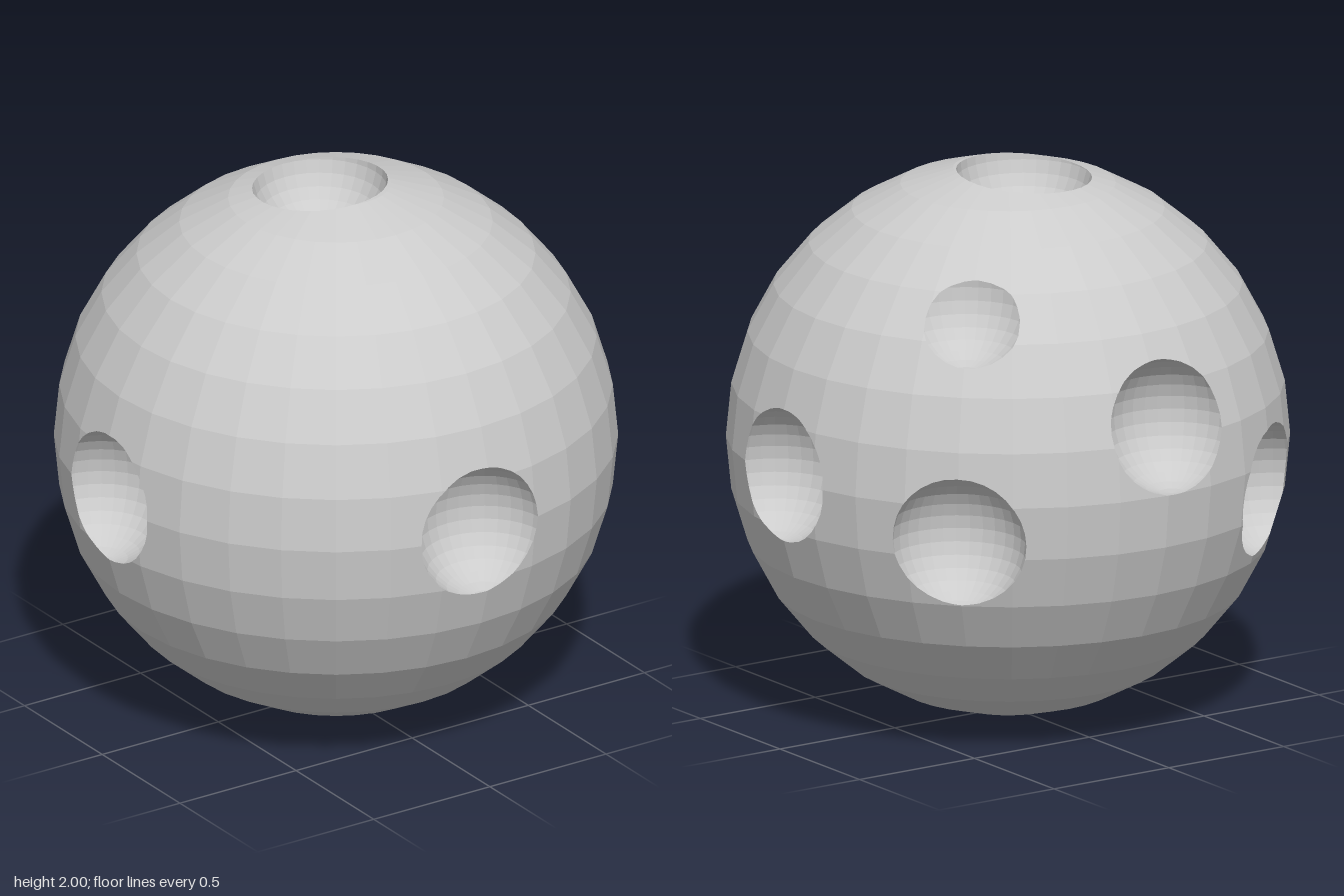
import * as THREE from 'three';

const R = 1.01;      // ball radius
const HOLE = 0.247;  // radius of the spheres that scoop out the dimples
const EPS = 1e-7;

// Planar facets of a latitude/longitude sphere, each with its plane
function sphereFacets(radius, centre, segs = 32, rings = 16) {
  const point = (i, j) => new THREE.Vector3()
    .setFromSphericalCoords(radius, (i * Math.PI) / rings, (j * 2 * Math.PI) / segs)
    .add(centre);
  const facets = [];
  for (let i = 0; i < rings; i++) {
    for (let j = 0; j < segs; j++) {
      const a = point(i, j), b = point(i + 1, j), c = point(i + 1, j + 1), d = point(i, j + 1);
      const poly = i === 0 ? [a, b, c] : i === rings - 1 ? [a, b, d] : [a, b, c, d];
      const plane = new THREE.Plane().setFromCoplanarPoints(poly[0], poly[1], poly[2]);
      facets.push({ poly, plane });
    }
  }
  return facets;
}

// Cut a convex polygon by a plane into its outer and inner piece
function split(poly, plane) {
  const dist = poly.map((p) => plane.distanceToPoint(p));
  if (dist.every((d) => d <= EPS)) return { outer: null, inner: poly };
  if (dist.every((d) => d >= -EPS)) return { outer: poly, inner: null };
  const outer = [], inner = [];
  poly.forEach((p, i) => {
    const k = (i + 1) % poly.length;
    if (dist[i] >= -EPS) outer.push(p);
    if (dist[i] <= EPS) inner.push(p);
    if ((dist[i] > EPS && dist[k] < -EPS) || (dist[i] < -EPS && dist[k] > EPS)) {
      const cut = p.clone().lerp(poly[k], dist[i] / (dist[i] - dist[k]));
      outer.push(cut);
      inner.push(cut);
    }
  });
  return { outer: outer.length > 2 ? outer : null, inner: inner.length > 2 ? inner : null };
}

// Part of a polygon inside a convex solid
function clipInside(poly, planes) {
  for (const plane of planes) {
    poly = split(poly, plane).inner;
    if (!poly) return null;
  }
  return poly;
}

// Parts of a polygon outside a convex solid
function clipOutside(poly, planes) {
  if (!clipInside(poly, planes)) return [poly];
  const pieces = [];
  for (const plane of planes) {
    const { outer, inner } = split(poly, plane);
    if (outer) pieces.push(outer);
    if (!inner) break;
    poly = inner;
  }
  return pieces;
}

// Flat-shaded mesh from convex polygons; flip turns the faces inward
function facetMesh(name, facets, material, flip = false) {
  const pos = [], nor = [];
  for (const { poly, plane } of facets) {
    const n = plane.normal.clone().multiplyScalar(flip ? -1 : 1);
    for (let i = 1; i < poly.length - 1; i++) {
      const tri = flip ? [poly[0], poly[i + 1], poly[i]] : [poly[0], poly[i], poly[i + 1]];
      for (const p of tri) {
        pos.push(p.x, p.y, p.z);
        nor.push(n.x, n.y, n.z);
      }
    }
  }
  const geo = new THREE.BufferGeometry();
  geo.setAttribute('position', new THREE.Float32BufferAttribute(pos, 3));
  geo.setAttribute('normal', new THREE.Float32BufferAttribute(nor, 3));
  const mesh = new THREE.Mesh(geo, material);
  mesh.name = name;
  return mesh;
}

// Dimples: direction from the ball's middle and distance of the scooping sphere
const DIMPLES = [
  { name: 'frontDimple', dir: [-0.034, 0, 0.98], at: R },
  { name: 'leftDimple', dir: [1, 0, 0], at: R },
  { name: 'rightDimple', dir: [-1, 0, 0], at: R },
  { name: 'topDimple', dir: [-0.034, 0.98, -0.052], at: R },
  { name: 'backDimple', dir: [-0.034, 0.235, -0.947], at: R },
  { name: 'backLeftDimple', dir: [0.687, -0.141, -0.684], at: R },
  { name: 'backRightDimple', dir: [-0.58, -0.12, -0.77], at: R },
  { name: 'shallowDimple', dir: [0.541, 0.617, -0.556], at: 1.165 },
];

export function createModel() {
  const group = new THREE.Group();
  group.name = 'dimpledBall';
  const material = new THREE.MeshStandardMaterial({ color: 0xcccccc, flatShading: true });

  let shell = sphereFacets(R, new THREE.Vector3());
  const ballPlanes = shell.map((f) => f.plane);

  for (const { name, dir, at } of DIMPLES) {
    const scoop = sphereFacets(HOLE, new THREE.Vector3(...dir).setLength(at));
    const scoopPlanes = scoop.map((f) => f.plane);
    // opening in the shell
    shell = shell.flatMap(({ poly, plane }) =>
      clipOutside(poly, scoopPlanes).map((piece) => ({ poly: piece, plane })));
    // inner wall of the dimple
    const wall = scoop
      .map(({ poly, plane }) => ({ poly: clipInside(poly, ballPlanes), plane }))
      .filter((f) => f.poly);
    group.add(facetMesh(name, wall, material, true));
  }
  group.add(facetMesh('ballShell', shell, material));

  // stand the ball on the ground
  group.children.forEach((m) => m.position.set(0, R, 0.01));
  return group;
}
